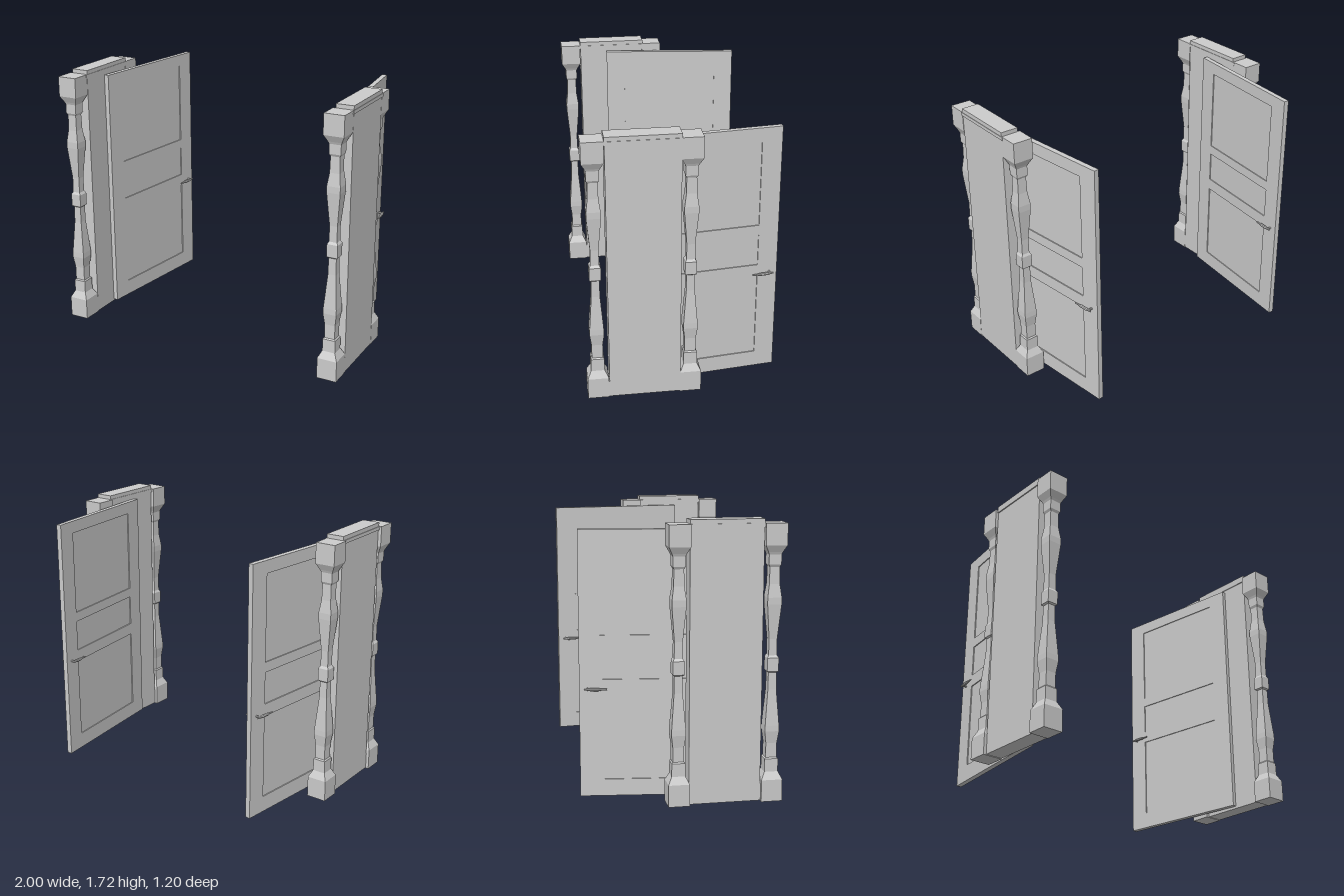
import * as THREE from 'three';

const material = new THREE.MeshStandardMaterial({ color: 0xcccccc, flatShading: true });

function add(parent, name, geometry, x = 0, y = 0, z = 0) {
  const mesh = new THREE.Mesh(geometry, material);
  mesh.name = name;
  mesh.position.set(x, y, z);
  parent.add(mesh);
  return mesh;
}

// Box given by its limits on each axis
function addBox(parent, name, [x0, x1], [y0, y1], [z0, z1]) {
  return add(parent, name, new THREE.BoxGeometry(x1 - x0, y1 - y0, z1 - z0),
    (x0 + x1) / 2, (y0 + y1) / 2, (z0 + z1) / 2);
}

// Square baluster: half width and height of each section
function postGeometry() {
  const profile = [
    [0, 0], [0.065, 0], [0.065, 0.136], [0.042, 0.182], [0.041, 0.262], [0.034, 0.27],
    [0.034, 0.36], [0.044, 0.435], [0.043, 0.47], [0.026, 0.69], [0.025, 0.795],
    [0.035, 0.803], [0.035, 0.885], [0.026, 0.9], [0.025, 1.0], [0.043, 1.21],
    [0.043, 1.25], [0.032, 1.33], [0.03, 1.43], [0.038, 1.445], [0.038, 1.505],
    [0.044, 1.52], [0.065, 1.56], [0.065, 1.69], [0, 1.69],
  ].map(([w, y]) => new THREE.Vector2(w * Math.SQRT2, y));
  return new THREE.LatheGeometry(profile, 4, Math.PI / 4);
}

// Two posts with a wall panel, a base rail and a moulded cap between them
function createFrame(name) {
  const frame = new THREE.Group();
  frame.name = name;
  const post = postGeometry();
  add(frame, 'frontPost', post, 0, 0, 0.535);
  add(frame, 'backPost', post, 0, 0, -0.036);
  addBox(frame, 'wallPanel', [-0.045, 0.064], [0.1, 1.68], [0.026, 0.466]);
  addBox(frame, 'baseRail', [-0.045, 0.064], [0.004, 0.11], [0.02, 0.48]);
  addBox(frame, 'capMoulding', [-0.052, 0.069], [1.668, 1.69], [0.014, 0.478]);
  addBox(frame, 'cap', [-0.048, 0.066], [1.69, 1.716], [0.025, 0.468]);
  return frame;
}

const DOOR = { length: 0.89, height: 1.63, thickness: 0.033, margin: 0.125 };

function rectangle(Type, x0, x1, y0, y1) {
  const path = new Type();
  path.moveTo(x0, y0);
  path.lineTo(x1, y0);
  path.lineTo(x1, y1);
  path.lineTo(x0, y1);
  path.closePath();
  return path;
}

// Door leaf running along local x from the hinge, with three sunken panels
function createDoor(name) {
  const door = new THREE.Group();
  door.name = name;
  const { length, height, thickness, margin } = DOOR;
  const leaf = rectangle(THREE.Shape, 0, length, 0, height);
  for (const [y0, y1] of [[0.105, 0.65], [0.73, 0.935], [1.0, 1.55]]) {
    leaf.holes.push(rectangle(THREE.Path, margin, length - margin, y0, y1));
    addBox(door, 'sunkenPanel', [margin - 0.005, length - margin + 0.005],
      [y0 - 0.005, y1 + 0.005], [-0.01, 0.01]);
  }
  const leafGeometry = new THREE.ExtrudeGeometry(leaf, { depth: thickness, bevelEnabled: false });
  leafGeometry.translate(0, 0, -thickness / 2);
  add(door, 'doorLeaf', leafGeometry);

  // Lever handles on both faces, joined by a spindle
  const spindle = new THREE.CylinderGeometry(0.007, 0.007, 0.086, 8);
  spindle.rotateX(Math.PI / 2);
  add(door, 'handleSpindle', spindle, 0.84, 0.675, 0);
  const profile = [[0, 0], [0.005, 0], [0.006, 0.03], [0.01, 0.05], [0.01, 0.098],
    [0.006, 0.115], [0.005, 0.135], [0, 0.135]].map(([r, y]) => new THREE.Vector2(r, y));
  const lever = new THREE.LatheGeometry(profile, 8);
  lever.rotateZ(-Math.PI / 2);
  for (const side of [-1, 1]) add(door, 'handleLever', lever, 0.725, 0.675, side * 0.044);
  return door;
}

export function createModel() {
  const model = new THREE.Group();
  model.name = 'doorway';

  const rightFrame = createFrame('rightFrame');
  rightFrame.position.x = -0.935;
  const leftFrame = createFrame('leftFrame');
  leftFrame.position.x = 0.926;

  // Doors stand open, swung towards the back
  const swing = Math.atan2(0.883, 0.102);
  const rightDoor = createDoor('rightDoor');
  rightDoor.position.set(-0.85, 0.02, 0.283);
  rightDoor.rotation.y = swing;
  const leftDoor = createDoor('leftDoor');
  leftDoor.position.set(0.869, 0.02, 0.283);
  leftDoor.rotation.y = Math.PI - swing;

  model.add(rightFrame, leftFrame, rightDoor, leftDoor);
  return model;
}
